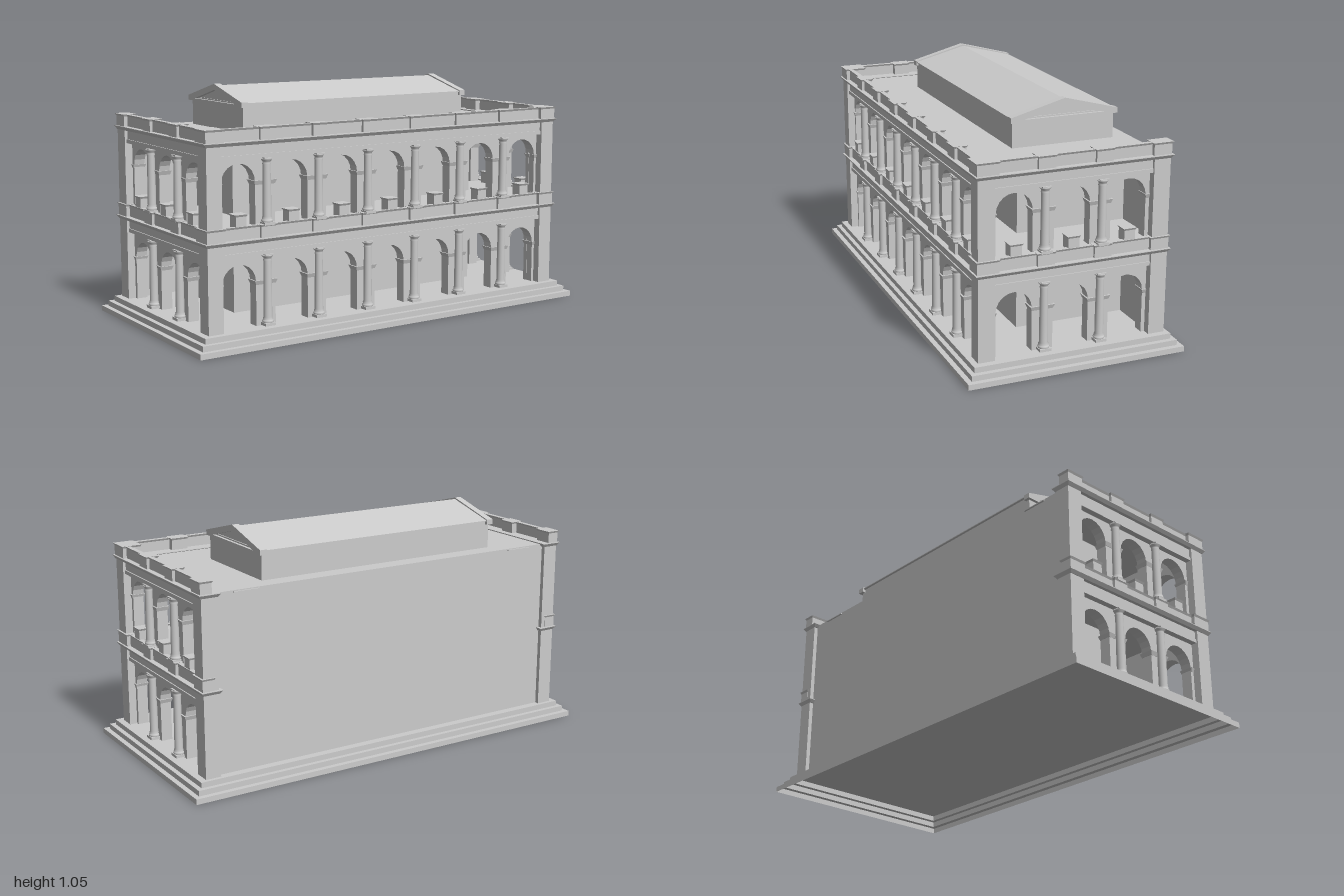
import * as THREE from 'three';

const material = new THREE.MeshStandardMaterial({ color: 0xcccccc });
const shellMaterial = new THREE.MeshStandardMaterial({ color: 0xcccccc, side: THREE.DoubleSide, flatShading: true });

function add(parent, name, geometry, mat = material) {
  const mesh = new THREE.Mesh(geometry, mat);
  mesh.name = name;
  parent.add(mesh);
  return mesh;
}

// Box given by its limits on each axis; inset narrows the bottom into a flared moulding
function box(parent, name, x0, x1, y0, y1, z0, z1, inset = 0) {
  const geometry = new THREE.BoxGeometry(x1 - x0, y1 - y0, z1 - z0);
  const p = geometry.attributes.position;
  for (let i = 0; i < p.count; i++) {
    if (p.getY(i) > 0) continue;
    p.setX(i, p.getX(i) - Math.sign(p.getX(i)) * inset);
    p.setZ(i, p.getZ(i) - Math.sign(p.getZ(i)) * inset);
  }
  geometry.computeVertexNormals();
  const mesh = add(parent, name, geometry);
  mesh.position.set((x0 + x1) / 2, (y0 + y1) / 2, (z0 + z1) / 2);
  return mesh;
}

function extrude(shape, depth) {
  return new THREE.ExtrudeGeometry(shape, { depth, bevelEnabled: false, curveSegments: 5 });
}

const BAY = 0.254, ARCH = 0.08;
// Heights of the two storeys
const STOREYS = [
  { floor: 0.072, spring: 0.263, beam: 0.38, frieze: 0.397, cornice: 0.435, band: 0.452, top: 0.508 },
  { floor: 0.5, spring: 0.685, beam: 0.785, frieze: 0.802, cornice: 0.843, band: 0.86, top: 0.914 },
];

// Hollow stepped base, open below: rectangles joined in a loop
function steppedBase() {
  const rings = [];
  [[1, 0.49], [0.977, 0.467], [0.955, 0.447]].forEach(([x, z], i) =>
    rings.push([x, i * 0.024, z], [x, (i + 1) * 0.024, z]));
  rings.push([0, 0.072, 0]);
  const positions = [], index = [];
  rings.forEach(([x, y, z], r) => {
    positions.push(x, y, z, x, y, -z, -x, y, -z, -x, y, z);
    if (r === 0) return;
    for (let k = 0; k < 4; k++) {
      const a = (r - 1) * 4 + k, b = (r - 1) * 4 + (k + 1) % 4;
      index.push(a, b, b + 4, a, b + 4, a + 4);
    }
  });
  const geometry = new THREE.BufferGeometry();
  geometry.setAttribute('position', new THREE.Float32BufferAttribute(positions, 3));
  geometry.setIndex(index);
  const flat = geometry.toNonIndexed();
  flat.computeVertexNormals();
  return flat;
}

// Wall with a row of round arches open at the floor
function archedWall(half, bays, s) {
  const shape = new THREE.Shape();
  shape.moveTo(-half, s.floor);
  for (const u of bays) {
    shape.lineTo(u - ARCH, s.floor);
    shape.lineTo(u - ARCH, s.spring);
    shape.absarc(u, s.spring, ARCH, Math.PI, 0, true);
    shape.lineTo(u + ARCH, s.floor);
  }
  shape.lineTo(half, s.floor);
  shape.lineTo(half, s.cornice);
  shape.lineTo(-half, s.cornice);
  return extrude(shape, 0.05);
}

// Column with square plinth, moulded base, tapering shaft and capital
function column(parent, u, y0, y1) {
  const g = new THREE.Group();
  g.name = 'column';
  g.position.set(u, 0, -0.02);
  parent.add(g);
  box(g, 'plinth', -0.025, 0.025, y0, y0 + 0.012, -0.025, 0.025);
  const profile = [
    [0.0235, y0 + 0.012], [0.025, y0 + 0.017], [0.0235, y0 + 0.022], [0.02, y0 + 0.025],
    [0.0215, y0 + 0.03], [0.0185, y0 + 0.035], [0.0185, y0 + 0.11], [0.0165, y1 - 0.03],
    [0.019, y1 - 0.027], [0.0165, y1 - 0.023], [0.0175, y1 - 0.016], [0.024, y1 - 0.009], [0.023, y1 - 0.004], [0, y1 - 0.004],
  ].map(([r, y]) => new THREE.Vector2(r, y));
  add(g, 'shaft', new THREE.LatheGeometry(profile, 20));
  box(g, 'abacus', -0.02, 0.02, y1 - 0.005, y1, -0.02, 0.02);
}

// Block with a thin flared cap
function cappedBlock(parent, name, x0, x1, y0, y1, z0, z1) {
  const e = 0.005;
  box(parent, name, x0, x1, y0, y1 - 0.005, z0, z1);
  box(parent, name + 'Cap', x0 - e, x1 + e, y1 - 0.009, y1, z0 - e, z1 + e, e);
}

// Two-storey arcade; local z = 0 is the face of the corner piers
function facade(name, count, half, overhang) {
  const g = new THREE.Group();
  g.name = name;
  const bays = Array.from({ length: count }, (_, i) => (i - (count - 1) / 2) * BAY);
  const between = bays.slice(1).map(u => u - BAY / 2);
  STOREYS.forEach((s, level) => {
    add(g, 'archedWall', archedWall(half, bays, s)).position.z = -0.085;
    const impost = (u, w) =>
      box(g, 'impost', u - w, u + w, s.spring - 0.015, s.spring + 0.003, -0.092, -0.028, 0.006);
    for (const u of between) {
      column(g, u, s.floor + 0.003, s.beam);
      impost(u, 0.054);
    }
    for (const side of [-1, 1]) impost(side * (half - 0.006), 0.018);
    // Entablature
    box(g, 'architrave', -half, half, s.beam, s.frieze, -0.085, -0.008);
    box(g, 'frieze', -half, half, s.frieze, s.cornice, -0.085, -0.013);
    box(g, 'cornice', -overhang, overhang, s.cornice, s.band - 0.003, -0.085, 0.012, 0.01);
    box(g, 'corniceEdge', -overhang, overhang, s.band - 0.003, s.band, -0.085, 0.012);
    // Thin parapet with a block over each column
    cappedBlock(g, 'parapet', -half, half, s.band, s.top - 0.001, -0.025, -0.013);
    for (const u of between) {
      cappedBlock(g, 'parapetBlock', u - 0.038, u + 0.038, s.band, s.top, -0.052, 0);
    }
    // Balcony pedestals standing in the upper arches
    if (level === 1) {
      for (const u of bays) cappedBlock(g, 'pedestal', u - 0.025, u + 0.025, s.floor, 0.557, -0.062, -0.012);
    }
  });
  return g;
}

export function createModel() {
  const model = new THREE.Group();
  model.name = 'arcadedHall';

  add(model, 'steppedBase', steppedBase(), shellMaterial);

  // Arcades on the front and both sides
  const front = facade('frontArcade', 7, 0.86, 0.935);
  front.position.z = 0.42;
  model.add(front);
  for (const side of [1, -1]) {
    const arcade = facade(side > 0 ? 'leftArcade' : 'rightArcade', 3, 0.354, 0.436);
    arcade.position.set(side * 0.925, 0, -0.004);
    arcade.rotation.y = side * Math.PI / 2;
    model.add(arcade);
  }

  // Corner piers and their parapet blocks
  for (const side of [1, -1]) {
    const span = (a, b) => side > 0 ? [a, b] : [-b, -a];
    for (const [z0, z1, inner] of [[0.347, 0.42, 0.845], [-0.43, -0.355, 0.876]]) {
      box(model, 'cornerPier', ...span(0.855, 0.925), 0.072, 0.86, z0, z1);
      for (const s of STOREYS) {
        const zA = z0 > 0 ? 0.33 : -0.432;
        const zB = z0 > 0 ? 0.424 : -0.35;
        cappedBlock(model, 'cornerBlock', ...span(inner, 0.929), s.band, s.top, zA, zB);
      }
    }
    box(model, 'backLedge', ...span(0.65, 0.77), 0.846, 0.85, -0.418, -0.41);
  }

  // Inner hall, back wall, upper floor and flat roof
  box(model, 'innerHall', -0.65, 0.65, 0.072, 0.85, -0.4, 0.135);
  box(model, 'backWall', -0.86, 0.86, 0.072, 0.855, -0.411, -0.365);
  box(model, 'upperFloor', -0.9, 0.9, 0.435, 0.5, -0.405, 0.395);
  box(model, 'flatRoof', -0.9, 0.9, 0.843, 0.855, -0.411, 0.4);

  // Raised attic with a gabled roof running along x
  const attic = new THREE.Group();
  attic.name = 'attic';
  attic.position.z = -0.1;
  model.add(attic);
  box(attic, 'atticWall', -0.595, 0.595, 0.853, 0.982, -0.232, 0.235);
  const gable = (half, y0, y1, peak) => new THREE.Shape([
    new THREE.Vector2(-half, y0), new THREE.Vector2(half, y0), new THREE.Vector2(half, y1),
    new THREE.Vector2(0, peak), new THREE.Vector2(-half, y1),
  ]);
  const roof = add(attic, 'gabledRoof', extrude(gable(0.243, 0.98, 0.984, 1.046), 1.18));
  roof.rotation.y = Math.PI / 2;
  roof.position.x = -0.59;
  // Pediment frames with a recessed triangle
  for (const side of [1, -1]) {
    const frame = gable(0.246, 0.965, 0.988, 1.053);
    frame.holes.push(new THREE.Path([
      new THREE.Vector2(-0.185, 0.976), new THREE.Vector2(0, 1.026), new THREE.Vector2(0.185, 0.976),
    ]));
    const pediment = add(attic, 'pediment', extrude(frame, 0.032));
    pediment.rotation.y = Math.PI / 2;
    pediment.position.x = side > 0 ? 0.576 : -0.608;
  }
  return model;
}
